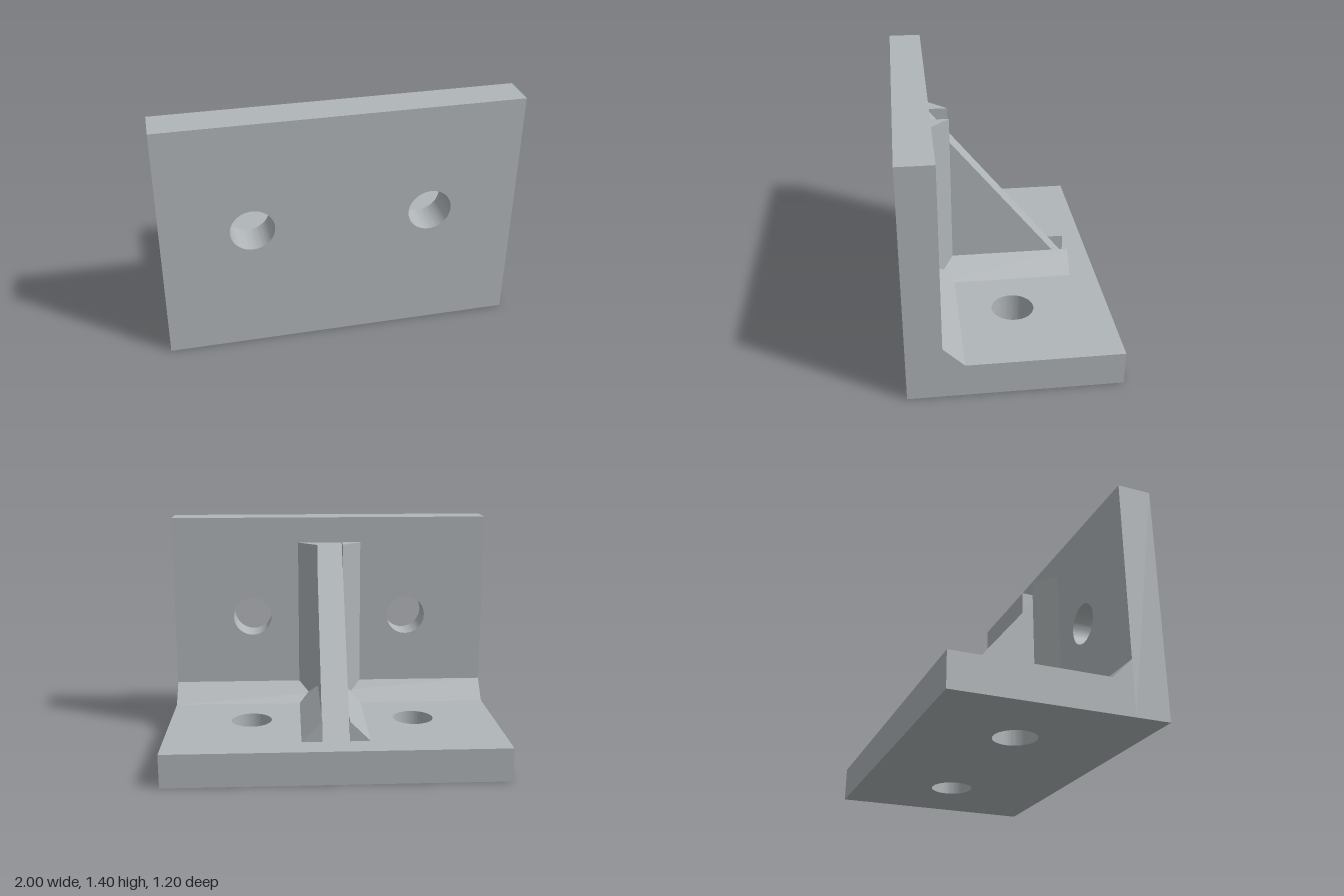
import * as THREE from 'three';
import { toCreasedNormals } from 'three/addons/utils/BufferGeometryUtils.js';

const WALL_BACK = 0.4, FLOOR = 0.2, CHAMFER = 0.12;
const RIB_HALF = 0.08, RIB_TOP = 1.24, RIB_END = -0.44;
const HOLE_X = 0.5, HOLE_R = 0.123;

// Prism from a 2D outline, extruded along +z
function prism(points, depth, holes = []) {
  const shape = new THREE.Shape(points.map(([x, y]) => new THREE.Vector2(x, y)));
  for (const [x, y] of holes) {
    shape.holes.push(new THREE.Path().absarc(x, y, HOLE_R, 0, Math.PI * 2, true));
  }
  return new THREE.ExtrudeGeometry(shape, { depth, bevelEnabled: false, curveSegments: 48 });
}

const rect = (x0, y0, x1, y1) => [[x0, y0], [x1, y0], [x1, y1], [x0, y1]];

// Prism from a (z, y) outline, extruded along x and centred
const sidePrism = (points, width) =>
  prism(points, width).rotateY(-Math.PI / 2).translate(width / 2, 0, 0);

export function createModel() {
  const group = new THREE.Group();
  const steel = new THREE.MeshStandardMaterial({ color: 0xb0b5b8 });
  steel.name = 'steelGrey';

  const add = (name, geometry) => {
    const mesh = new THREE.Mesh(toCreasedNormals(geometry, 0.5), steel);
    mesh.name = name;
    group.add(mesh);
  };

  // Upright plate with two bolt holes
  add('uprightPlate', prism(rect(-1, 0, 1, 1.4), 0.2, [[-HOLE_X, 0.76], [HOLE_X, 0.76]])
    .translate(0, 0, WALL_BACK));

  // Base plate with two bolt holes
  add('basePlate', prism(rect(-1, -WALL_BACK, 1, 0.6), FLOOR, [[-HOLE_X, 0.04], [HOLE_X, 0.04]])
    .rotateX(-Math.PI / 2));

  // Sloped strip along the inner corner
  add('cornerChamfer', sidePrism(
    [[WALL_BACK, FLOOR], [WALL_BACK, FLOOR + CHAMFER], [WALL_BACK - CHAMFER, FLOOR]], 2));

  // Triangular stiffening rib
  add('rib', sidePrism(
    [[WALL_BACK, FLOOR], [WALL_BACK, RIB_TOP], [RIB_END, FLOOR]], RIB_HALF * 2));

  // Weld strips on both sides of the rib
  for (const [side, s] of [['left', 1], ['right', -1]]) {
    const inner = s * RIB_HALF, outer = s * (RIB_HALF + CHAMFER);
    add(side + 'UprightWeld', prism(
      [[inner, -WALL_BACK], [outer, -WALL_BACK], [inner, CHAMFER - WALL_BACK]], RIB_TOP - FLOOR)
      .rotateX(-Math.PI / 2).translate(0, FLOOR, 0));
    add(side + 'BaseWeld', prism(
      [[inner, FLOOR], [outer, FLOOR], [inner, FLOOR + CHAMFER]], WALL_BACK - RIB_END)
      .translate(0, 0, RIB_END));
  }

  return group;
}
